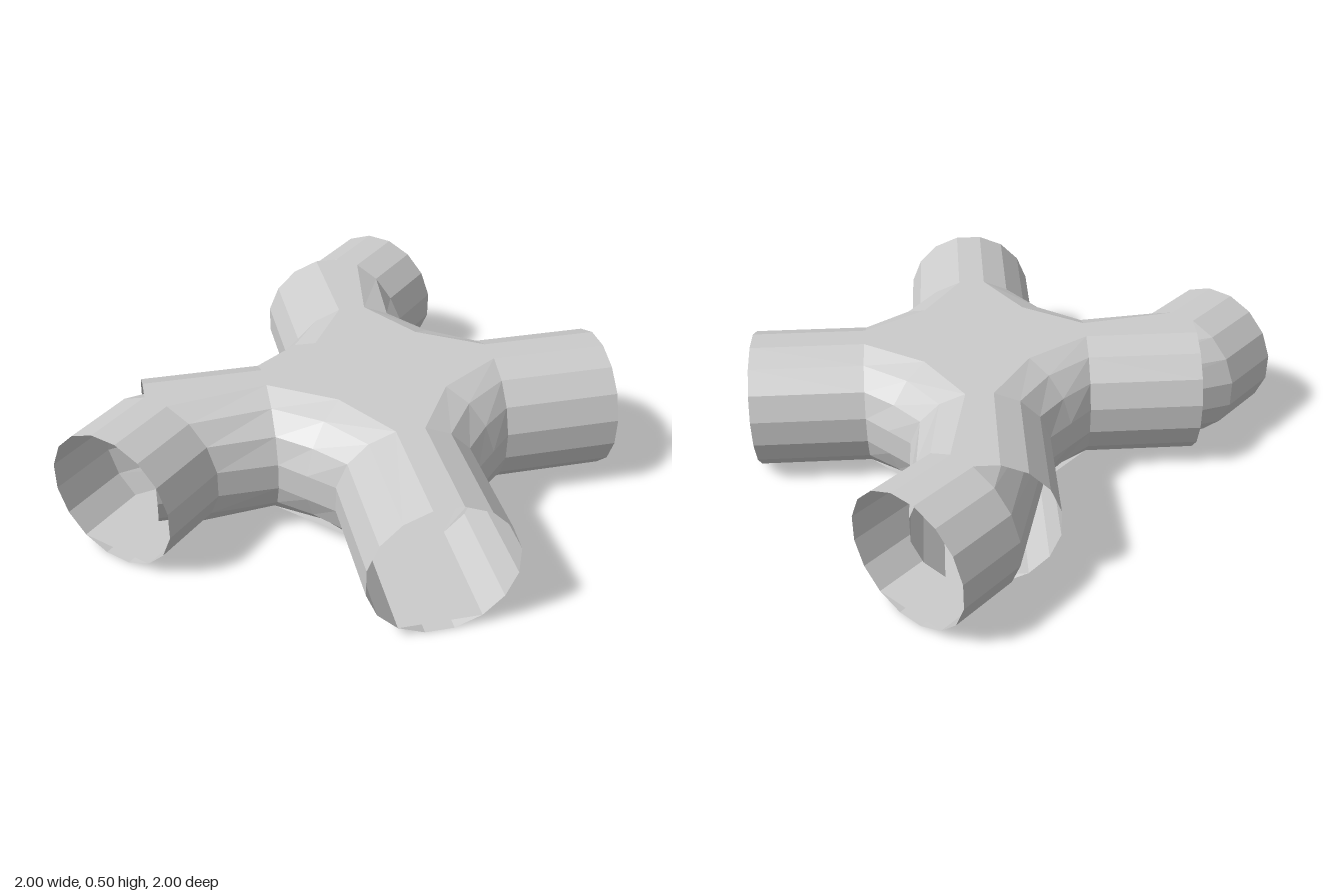
import * as THREE from 'three';

const APOTHEM = 0.25, SIDES = 16;
const HUB = 0.415, END = 0.835, CENTRE = 0.165;
const R = APOTHEM / Math.cos(Math.PI / SIDES);
const FLAT = R * Math.sin(Math.PI / SIDES);            // half width of one facet
const FLOOR_HALF = R * Math.sin(3 * Math.PI / SIDES);  // half width of the floor
const FLOOR_Y = APOTHEM - R * Math.cos(3 * Math.PI / SIDES);

const material = new THREE.MeshStandardMaterial({
  color: 0xcccccc, flatShading: true, side: THREE.DoubleSide,
});

// Point of a cross-section centred at (x, z), offset s along horizontal angle a
const at = ([x, z, a], s, y) => [x + s * Math.cos(a), y, z + s * Math.sin(a)];

// Tube section: whole ring, or only the half on the +s side
function ring(station, half = false) {
  const points = [];
  for (let i = 0; i <= (half ? SIDES / 2 - 1 : SIDES); i++) {
    const t = -Math.PI / 2 + (i + 0.5) * 2 * Math.PI / SIDES;
    points.push(at(station, R * Math.cos(t), APOTHEM + R * Math.sin(t)));
  }
  return points;
}

const floorLine = (station) => [at(station, -FLOOR_HALF, FLOOR_Y), at(station, FLOOR_HALF, FLOOR_Y)];

// Skin a surface over consecutive sections
function loft(name, sections) {
  const n = sections[0].length, index = [];
  for (let j = 0; j < sections.length - 1; j++) {
    for (let i = 0; i < n - 1; i++) {
      const a = j * n + i, b = a + n;
      index.push(a, a + 1, b, a + 1, b + 1, b);
    }
  }
  const indexed = new THREE.BufferGeometry();
  indexed.setAttribute('position', new THREE.Float32BufferAttribute(sections.flat(2), 3));
  indexed.setIndex(index);
  const geometry = indexed.toNonIndexed();
  geometry.computeVertexNormals();
  const mesh = new THREE.Mesh(geometry, material);
  mesh.name = name;
  return mesh;
}

// Horizontal plate from one quarter outline, repeated four times
function plate(name, quarter, y, down = false) {
  const points = [];
  for (let k = 0; k < 4; k++) {
    for (const [x, z] of quarter) {
      points.push(new THREE.Vector2(x, z).rotateAround(new THREE.Vector2(), k * Math.PI / 2));
    }
  }
  const geometry = new THREE.ShapeGeometry(new THREE.Shape(points));
  geometry.rotateX(down ? Math.PI / 2 : -Math.PI / 2);
  const mesh = new THREE.Mesh(geometry, material);
  mesh.name = name;
  mesh.position.y = y;
  return mesh;
}

export function createModel() {
  const model = new THREE.Group();
  model.name = 'tunnelJunction';
  model.position.set(CENTRE, 0, CENTRE);

  const q = Math.PI / 4, d = Math.SQRT1_2;
  const mid = HUB * 0.8012 - APOTHEM * d; // centre of the diagonal section in a corner

  // Four straight arms and the concave corner walls between them
  const armNames = ['leftArm', 'frontArm', 'rightArm', 'backArm'];
  for (let k = 0; k < 4; k++) {
    const a = k * Math.PI / 2;
    const stations = [HUB, END].map((r) => [r * Math.cos(a), r * Math.sin(a), a + Math.PI / 2]);
    model.add(loft(armNames[k], stations.map((s) => ring(s))));
    model.add(loft(armNames[k] + 'Floor', stations.map(floorLine)));

    const corner = [[HUB, 0, 2 * q], [mid, mid, q], [0, HUB, 0]];
    const wall = loft('cornerWall', corner.map((s) => ring(s, true)));
    wall.rotation.y = -a;
    model.add(wall);
  }

  // Flat roof, underside and inner floor of the crossing
  const inner = mid + FLAT * d;
  const outline = [[HUB, -FLAT], [HUB, FLAT], [inner, inner]];
  model.add(plate('crossingRoof', outline, 2 * APOTHEM));
  model.add(plate('crossingUnderside', outline, 0, true));
  model.add(plate('crossingFloor', [[HUB, -FLOOR_HALF], [HUB, FLOOR_HALF]], FLOOR_Y));

  // Branches bending 45 degrees off two of the arms
  const bends = {
    rightBranch: [[-HUB, 0, 2 * q], [-0.802, 0.073, q], [-0.989, 0.26, q]],
    backBranch: [[0, -HUB, 0], [0.073, -0.802, q], [0.26, -0.989, q]],
  };
  for (const [name, stations] of Object.entries(bends)) {
    model.add(loft(name, stations.map((s) => ring(s))));
    model.add(loft(name + 'Floor', stations.map(floorLine)));
  }

  const root = new THREE.Group();
  root.name = 'junction';
  root.add(model);
  return root;
}
